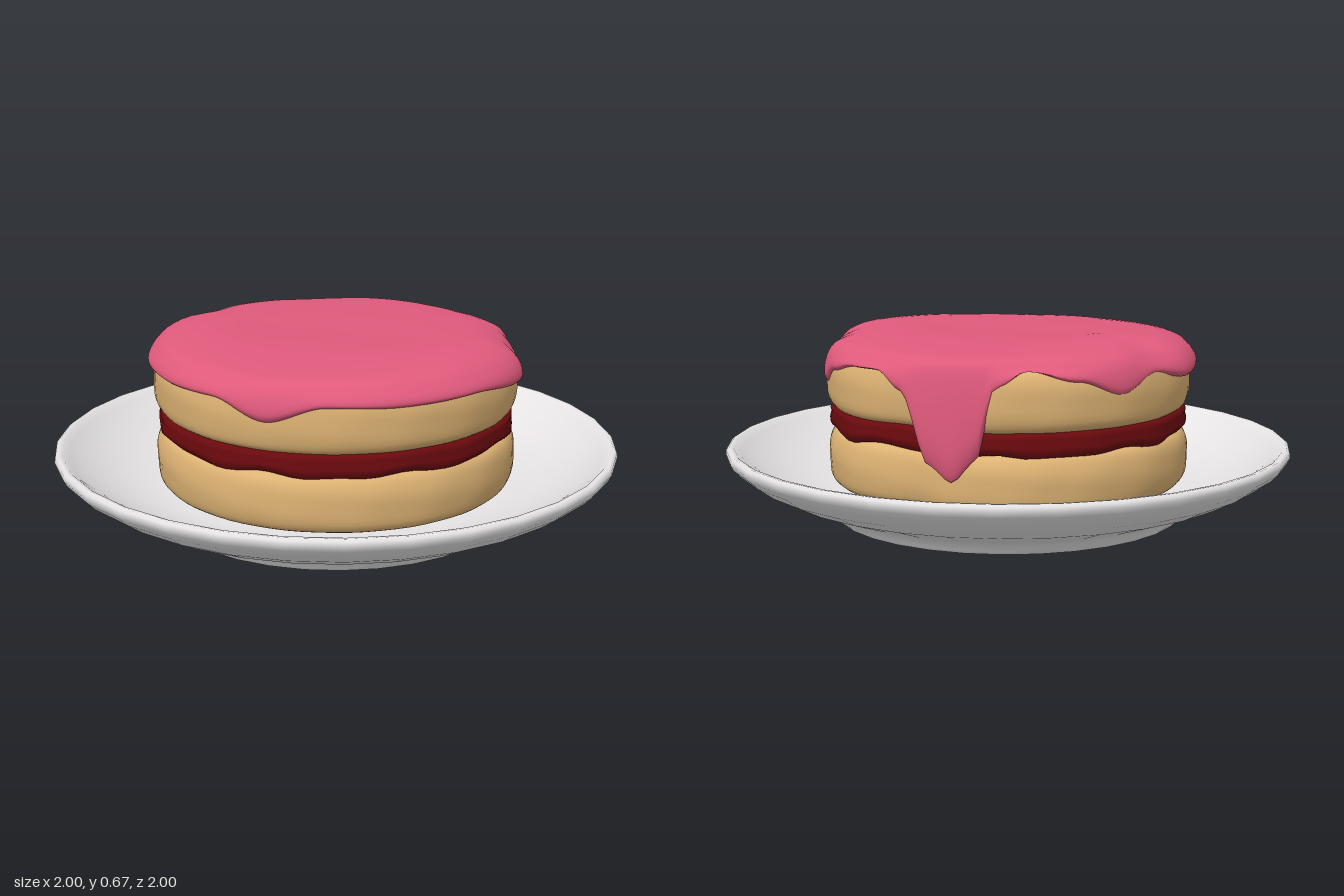
import * as THREE from 'three';

const TAU = Math.PI * 2;
const mat = (name, color) => {
  const m = new THREE.MeshStandardMaterial({ color });
  m.name = name;
  return m;
};

// Closed surface of revolution whose [r, y] profile may change with the angle.
// The profile runs outside-up so that faces point outward.
function revolve(name, material, segments, profileAt) {
  const pos = [], idx = [];
  let n = 0;
  for (let i = 0; i < segments; i++) {
    const a = (i / segments) * TAU;
    const profile = profileAt(a);
    n = profile.length;
    for (const [r, y] of profile) pos.push(r * Math.cos(a), y, r * Math.sin(a));
  }
  for (let i = 0; i < segments; i++) {
    const k = ((i + 1) % segments) * n;
    for (let j = 0; j < n - 1; j++) {
      const p = i * n + j, q = k + j;
      idx.push(p, p + 1, q, q, p + 1, q + 1);
    }
  }
  const geo = new THREE.BufferGeometry();
  geo.setAttribute('position', new THREE.Float32BufferAttribute(pos, 3));
  geo.setIndex(idx);
  geo.computeVertexNormals();
  const mesh = new THREE.Mesh(geo, material);
  mesh.name = name;
  return mesh;
}

// Smooth a few profile points into a dense curve
const smooth = (pts, count) =>
  new THREE.SplineCurve(pts.map(([r, y]) => new THREE.Vector2(r, y)))
    .getPoints(count).map(p => [Math.max(p.x, 0), p.y]);

// Icing rim: [angle in degrees, radius, height of the lower edge]
const RIM = [
  [0, .675, .53], [25, .66, .555], [50, .65, .55], [72, .645, .555], [90, .66, .502],
  [108, .645, .555], [130, .65, .55], [155, .66, .555], [180, .675, .53], [195, .635, .555],
  [210, .65, .5], [225, .65, .56], [240, .635, .6], [249, .642, .54], [255, .655, .31],
  [262, .662, .24], [269, .662, .29], [278, .655, .52], [287, .645, .58], [300, .64, .575],
  [312, .65, .545], [322, .655, .49], [332, .635, .54], [343, .63, .56], [360, .675, .53],
];
function rimAt(a) {
  const d = THREE.MathUtils.radToDeg(a);
  const i = RIM.findIndex((p, k) => k > 0 && d <= p[0]);
  const [d0, r0, y0] = RIM[i - 1], [d1, r1, y1] = RIM[i];
  const t = THREE.MathUtils.smoothstep(d, d0, d1);
  return [THREE.MathUtils.lerp(r0, r1, t), THREE.MathUtils.lerp(y0, y1, t)];
}

// Slight hollow in the cake behind the long drip
const dent = a => 0.05 * Math.exp(-(((a - THREE.MathUtils.degToRad(281)) / 0.24) ** 2));

export function createModel() {
  const china = mat('white china', 0xe6e4e4);
  const cake = mat('golden sponge', 0xdeb374);
  const red = mat('dark red jam', 0x6c0a0e);
  const pink = mat('pink icing', 0xe05a7c);
  const model = new THREE.Group();
  model.name = 'cakeOnPlate';

  // Plate with a short foot and a rounded rim
  const plate = [
    [0, .005], [.6, .005], [.612, 0], [.62, 0], [.632, .012], [.645, .035], [.67, .052], [.74, .077],
    [.83, .109], [.91, .15], [.965, .19], [.99, .215], [1, .235], [.998, .25], [.988, .258],
    [.972, .256], [.95, .238], [.9, .203], [.82, .16], [.72, .125], [.62, .11], [.3, .105], [0, .105],
  ];
  model.add(revolve('plate', china, 32, () => plate));

  // Two sponge layers with a faintly uneven crust
  const sponge = (name, bottom, top, radius) => {
    const base = smooth([
      [radius - .09, bottom], [radius - .035, bottom + .01], [radius - .008, bottom + .04],
      [radius, (bottom + top) / 2], [radius - .006, top - .05], [radius - .03, top - .012],
      [radius - .09, top],
    ], 20);
    return revolve(name, cake, 72, a => [
      [0, bottom],
      ...base.map(([r, y]) => [
        r - dent(a) + .002 * Math.sin(7 * a + 40 * y) * Math.sin(11 * a - 25 * y), y]),
      [0, top],
    ]);
  };
  model.add(sponge('lowerSponge', .115, .33, .638));
  model.add(sponge('upperSponge', .385, .61, .643));

  // Jam filling with a lumpy edge
  model.add(revolve('jamFilling', red, 96, a => {
    const w = .006 * Math.sin(9 * a) + .004 * Math.sin(16 * a + 1);
    const R = .63 - dent(a) + .004 * Math.sin(13 * a + 2);
    return [
      [0, .31], [R - .06, .312 + w], [R - .018, .316 + w], [R - .002, .332 + w], [R, .35 + w / 2],
      [R - .006, .375], [R - .002, .385], [R - .015, .396], [R - .06, .4], [0, .4],
    ];
  }));

  // Icing cap with a wavy skirt and one long drip at the back
  model.add(revolve('icing', pink, 180, a => {
    const [R, e] = rimAt(a);
    const h = .657 + .008 * Math.cos(2 * a);
    const at = t => e + (.6 - e) * t;
    return smooth([
      [R - .07, e + .025], [R - .04, e + .004], [R - .018, e], [R - .003, at(.16)],
      [R, at(.38)], [R - .006, at(.7)], [R - .022, .605], [R - .055, .632],
      [R - .13, h - .007], [R - .27, h], [.22, .654], [0, .651],
    ], 36);
  }));

  return model;
}
